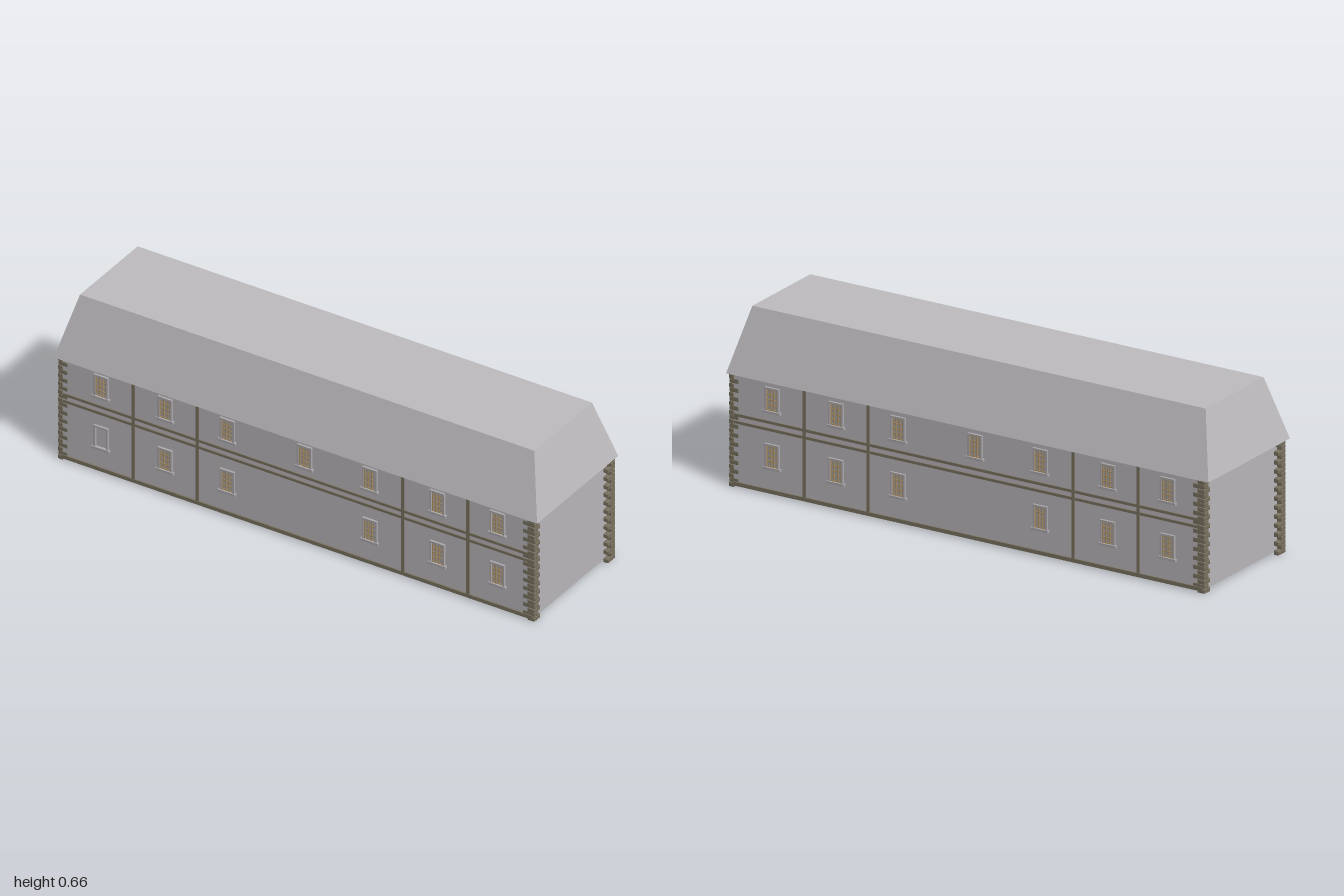
import * as THREE from 'three';
import { RoundedBoxGeometry } from 'three/addons/geometries/RoundedBoxGeometry.js';

const make = (color, double) => {
  const m = new THREE.MeshStandardMaterial({ color });
  if (double) m.side = THREE.DoubleSide;
  return m;
};
const plaster = make(0xbcb9bc, true); plaster.name = 'grey plaster';
const roofing = make(0xbfbdbf, true); roofing.name = 'grey roofing';
const stone = make(0x7b7361); stone.name = 'brown stone';
const surround = make(0xaeabae); surround.name = 'window surround grey';
const glass = make(0xa5a3a6); glass.name = 'pane grey';
const tan = make(0xb5986a); tan.name = 'tan window bars';

// Box given by its lower and upper limits on each axis
function box(name, mat, x0, x1, y0, y1, z0, z1, radius = 0) {
  const s = [x1 - x0, y1 - y0, z1 - z0];
  const geo = radius ? new RoundedBoxGeometry(...s, 1, radius) : new THREE.BoxGeometry(...s);
  const mesh = new THREE.Mesh(geo, mat);
  mesh.position.set((x0 + x1) / 2, (y0 + y1) / 2, (z0 + z1) / 2);
  mesh.name = name;
  return mesh;
}

// Shell of four sides through two rectangles, with an optional flat top
function shell(name, mat, lower, upper, capped) {
  const ring = ([hx, y, hz]) => [[-hx, y, hz], [hx, y, hz], [hx, y, -hz], [-hx, y, -hz]];
  const a = ring(lower), b = ring(upper), pos = [];
  const quad = (p, q, r, s) => [p, q, r, p, r, s].forEach(v => pos.push(...v));
  for (let i = 0; i < 4; i++) {
    const j = (i + 1) % 4;
    quad(a[i], a[j], b[j], b[i]);
  }
  if (capped) quad(...b);
  const geo = new THREE.BufferGeometry();
  geo.setAttribute('position', new THREE.Float32BufferAttribute(pos, 3));
  geo.computeVertexNormals();
  const mesh = new THREE.Mesh(geo, mat);
  mesh.name = name;
  return mesh;
}

const WALL = 0.249; // distance of the long walls from the middle

// Framed window with sill and glazing bars; a blind one has the frame only
function windowUnit(x, y, blind) {
  const g = new THREE.Group();
  g.name = blind ? 'blindWindow' : 'window';
  const w = 0.03, h = 0.09, t = 0.007, z0 = WALL - 0.002, z1 = WALL + 0.009;
  g.add(box('sill', surround, -0.036, 0.036, -0.005, 0.004, z0, z1 + 0.003));
  g.add(box('lintel', surround, -w, w, h - t, h, z0, z1));
  for (const s of [-1, 1]) {
    const c = s * (w - t / 2);
    g.add(box('jamb', surround, c - t / 2, c + t / 2, 0.004, h - t, z0, z1));
  }
  if (!blind) {
    const r = w - t, top = h - t;
    g.add(box('pane', glass, -r, r, 0.004, top, WALL, WALL + 0.002));
    for (let i = 0; i < 4; i++) {
      const c = -r + 0.002 + i * (2 * r - 0.004) / 3;
      g.add(box('uprightBar', tan, c - 0.002, c + 0.002, 0.004, top, WALL, WALL + 0.005));
    }
    for (let i = 0; i < 5; i++) {
      const c = 0.006 + i * (top - 0.008) / 4;
      g.add(box('crossBar', tan, -r, r, c - 0.002, c + 0.002, WALL, WALL + 0.0045));
    }
  }
  g.position.set(x, y, 0);
  return g;
}

// Corner stones, laid alternately along the long wall and the end wall
function quoins(name, side, xOut, xLong, xShort, zLong, zShort) {
  const g = new THREE.Group();
  g.name = name;
  const rows = 25, step = 0.42 / rows;
  for (let i = 0; i < rows; i++) {
    const alongEnd = i % 2 === 0;
    const xs = [side * xOut, side * (alongEnd ? xShort : xLong)].sort((a, b) => a - b);
    g.add(box('cornerStone', stone, xs[0], xs[1], i * step, (i + 1) * step,
      alongEnd ? zLong : zShort, alongEnd ? 0.253 : 0.251, 0.003));
  }
  return g;
}

// One long side with trim, windows and its two corners
function facade(name, hasBlind) {
  const g = new THREE.Group();
  g.name = name;
  const z0 = WALL - 0.002, z1 = WALL + 0.004;
  g.add(box('plinth', stone, -0.975, 0.975, 0.008, 0.022, z0, z1 + 0.002));
  for (const y of [0.244, 0.271])
    g.add(box('stringCourse', stone, -0.97, 0.97, y - 0.005, y + 0.005, z0, z1));
  for (const x of [-0.68, -0.415, 0.435, 0.705])
    g.add(box('pilasterStrip', stone, x - 0.006, x + 0.006, 0.02, 0.42, z0, z1 + 0.001));
  [-0.812, -0.547, -0.29, 0.03, 0.3, 0.58, 0.828].forEach((x, i) => {
    g.add(windowUnit(x, 0.312, false));
    if (i !== 3) g.add(windowUnit(x, 0.102, hasBlind && i === 0));
  });
  g.add(quoins('rightCorner', -1, 0.992, 0.953, 0.972, 0.205, 0.225));
  g.add(quoins('leftCorner', 1, 0.981, 0.93, 0.95, 0.214, 0.226));
  return g;
}

export function createModel() {
  const model = new THREE.Group();
  model.name = 'longHouse';

  const body = new THREE.Group();
  body.name = 'body';
  body.position.z = -0.004;
  body.add(shell('walls', plaster, [0.972, 0.01, WALL], [0.972, 0.42, WALL], false));
  body.add(facade('frontSide', true));
  const back = facade('backSide', false);
  back.rotation.y = Math.PI;
  body.add(back);
  model.add(body);

  // Steep hipped roof with a flat top
  model.add(shell('roof', roofing, [1, 0.42, 0.262], [0.94, 0.66, 0.186], true));
  return model;
}
